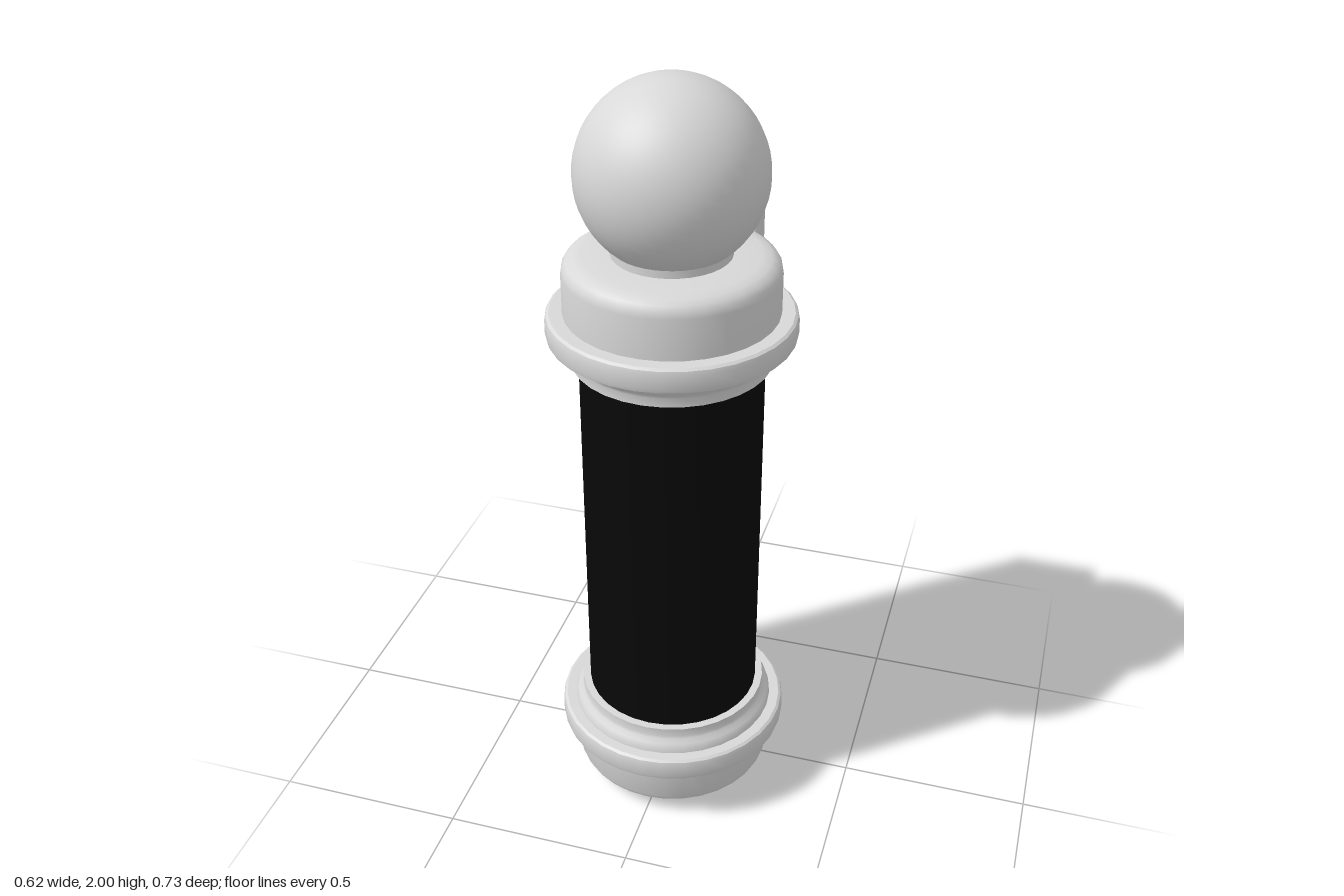
import * as THREE from 'three';
import { toCreasedNormals } from 'three/addons/utils/BufferGeometryUtils.js';

const AXIS_Z = 0.055; // pole axis, ahead of the wall bracket
const MID_Y = 0.795;  // the two end trims mirror about this height

const rect = (C, x0, y0, x1, y1) => {
  const s = new C();
  s.moveTo(x0, y0); s.lineTo(x1, y0); s.lineTo(x1, y1); s.lineTo(x0, y1); s.closePath();
  return s;
};

export function createModel() {
  const group = new THREE.Group();
  const enamel = new THREE.MeshStandardMaterial({ color: 0xd8d8d8, side: THREE.DoubleSide });
  enamel.name = 'light grey enamel';
  const black = new THREE.MeshStandardMaterial({ color: 0x080808 });
  black.name = 'black';

  const add = (name, geometry, material = enamel, x = 0, y = 0, z = 0) => {
    const mesh = new THREE.Mesh(geometry, material);
    mesh.name = name;
    mesh.position.set(x, y, z);
    group.add(mesh);
    return mesh;
  };
  const lathe = (name, profile, material) => {
    const points = profile.map(([r, y]) => new THREE.Vector2(r, y));
    add(name, toCreasedNormals(new THREE.LatheGeometry(points, 32), 0.6), material, 0, 0, AXIS_Z);
  };
  const extrude = (shape, depth) =>
    new THREE.ExtrudeGeometry(shape, { depth, bevelEnabled: false, curveSegments: 5 });

  // Pole cylinder
  lathe('poleCylinder', [[0.23, 0.28], [0.23, 1.31]], black);

  // Ring and stepped collar, mirrored for the two ends
  const trim = [
    [0.265, 0.165], [0.298, 0.165], [0.305, 0.17], [0.308, 0.18], [0.308, 0.216],
    [0.305, 0.226], [0.298, 0.231], [0.272, 0.231], [0.27, 0.242], [0.263, 0.254],
    [0.253, 0.264], [0.25, 0.272], [0.25, 0.295], [0.23, 0.295],
  ];
  lathe('lowerTrim', trim);
  lathe('upperTrim', trim.map(([r, y]) => [r, 2 * MID_Y - y]).reverse());

  // End caps: domed underneath, flat shoulder and neck above
  lathe('baseCap', [
    [0, 0], [0.08, 0.004], [0.15, 0.013], [0.205, 0.026], [0.245, 0.041],
    [0.259, 0.049], [0.265, 0.062], [0.265, 0.17],
  ]);
  lathe('topCap', [
    [0.265, 1.42], [0.265, 1.53], [0.262, 1.545], [0.253, 1.558], [0.238, 1.567],
    [0.215, 1.572], [0.147, 1.574], [0.147, 1.61],
  ]);

  // Ball finial
  add('ballFinial', new THREE.SphereGeometry(0.23, 40, 28), enamel, 0, 1.77, AXIS_Z);

  // Wall channel web, open where the hollow arms join
  const y0 = 0.06, y1 = 1.53, armH = 0.08, wall = 0.012;
  const web = rect(THREE.Shape, -0.115, y0, 0.115, y1);
  for (const y of [y0, y1 - armH]) {
    web.holes.push(rect(THREE.Path, -0.04, y + wall, 0.04, y + armH - wall));
    const arm = rect(THREE.Shape, -0.052, y, 0.052, y + armH);
    arm.holes.push(rect(THREE.Path, -0.04, y + wall, 0.04, y + armH - wall));
    add(y === y0 ? 'lowerArm' : 'upperArm', extrude(arm, 0.16), enamel, 0, 0, -0.302);
  }
  add('channelWeb', extrude(web, 0.01), enamel, 0, 0, -0.31);

  // Channel end plates
  for (const y of [y0 + 0.004, y1 - 0.004]) {
    add('channelEnd', new THREE.BoxGeometry(0.232, 0.008, 0.06), enamel, 0, y, -0.334);
  }

  // Side flanges with rounded front corners, and dark inlays along their rear edges
  const inlay = (zFront) => new THREE.Shape([
    [-0.3645, 0.145], [-0.3645, 1.44], [zFront, 1.32], [zFront, 0.265],
  ].map(([z, y]) => new THREE.Vector2(z, y)));
  for (const s of [1, -1]) {
    const flange = new THREE.Shape();
    flange.moveTo(s * 0.11, 0.3);
    flange.quadraticCurveTo(s * 0.121, 0.3, s * 0.122, 0.313);
    flange.lineTo(s * 0.125, 0.365);
    flange.lineTo(s * 0.115, 0.365);
    flange.lineTo(s * 0.11, 0.31);
    flange.closePath();
    const geometry = extrude(flange, y1 - y0).rotateX(-Math.PI / 2);
    add(s > 0 ? 'leftFlange' : 'rightFlange', geometry, enamel, 0, y0, 0);

    const plate = (zFront, thickness) => extrude(inlay(zFront), thickness)
      .rotateY(-Math.PI / 2).translate(thickness / 2, 0, 0);
    add('outerInlay', plate(-0.335, 0.005), black, s * 0.1232);
    add('innerInlay', plate(-0.355, 0.002), black, s * 0.1145);
  }
  return group;
}
